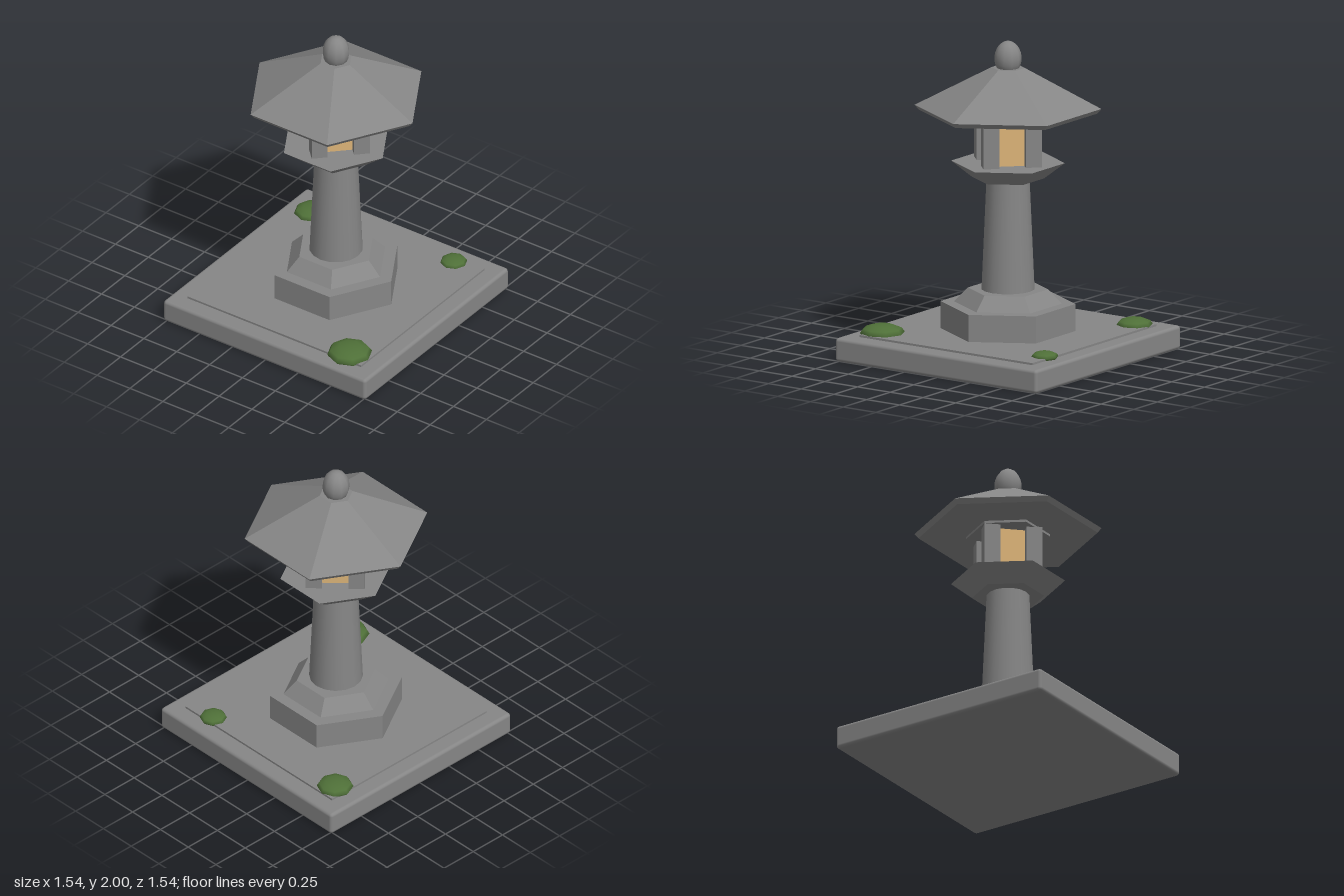
import * as THREE from 'three';
import { RoundedBoxGeometry } from 'three/addons/geometries/RoundedBoxGeometry.js';

export function createModel() {
  const model = new THREE.Group();
  model.name = 'stoneLantern';

  const flatStone = new THREE.MeshStandardMaterial({ name: 'stone', color: 0x868686, flatShading: true });
  const stone = new THREE.MeshStandardMaterial({ name: 'smoothStone', color: 0x868686 });
  const amber = new THREE.MeshStandardMaterial({ name: 'amberPaper', color: 0xdcb478 });
  const moss = new THREE.MeshStandardMaterial({ name: 'moss', color: 0x4f7038 });

  const add = (name, geometry, material, x = 0, y = 0, z = 0) => {
    const mesh = new THREE.Mesh(geometry, material);
    mesh.name = name;
    mesh.position.set(x, y, z);
    model.add(mesh);
    return mesh;
  };

  // Prism or frustum between two heights, corners on the z axis
  const tier = (name, y0, y1, r0, r1, sides = 6, material = flatStone) =>
    add(name, new THREE.CylinderGeometry(r1, r0, y1 - y0, sides), material, 0, (y0 + y1) / 2, 0);

  // Square ground slab with a thin raised panel
  add('baseSlab', new RoundedBoxGeometry(1.54, 0.15, 1.54, 2, 0.022), stone, 0, 0.075, 0);
  add('basePanel', new THREE.BoxGeometry(1.32, 0.03, 1.32), stone, 0, 0.148, 0);

  // Hexagonal foot and round tapered column
  tier('foot', 0.15, 0.335, 0.42, 0.42);
  tier('footBevel', 0.335, 0.425, 0.335, 0.25);
  tier('column', 0.42, 1.14, 0.167, 0.135, 16, stone);

  // Flared platform under the lamp chamber
  tier('platform', 1.13, 1.23, 0.225, 0.355);

  // Lamp chamber set diagonally, with a post on each corner
  const chamber = add('lampPanels', new THREE.BoxGeometry(0.25, 0.31, 0.25), amber, 0, 1.385, 0);
  chamber.rotation.y = Math.PI / 4;
  for (let i = 0; i < 4; i++) {
    const a = (i * Math.PI) / 2;
    const post = add('lampPost', new THREE.BoxGeometry(0.1, 0.31, 0.1), stone,
      Math.sin(a) * 0.188, 1.385, Math.cos(a) * 0.188);
    post.rotation.y = Math.PI / 4;
  }
  tier('chamberCap', 1.535, 1.555, 0.26, 0.26);

  // Hexagonal roof with a thin undercut eave
  tier('eave', 1.55, 1.58, 0.557, 0.582);
  tier('roof', 1.58, 1.83, 0.582, 0.105);

  // Egg-shaped finial
  add('finial', new THREE.SphereGeometry(0.085, 10, 10), stone, 0, 1.89, 0).scale.y = 1.3;

  // Moss mounds: x, z, radius
  for (const [x, z, r] of [[-0.585, 0.52, 0.141], [0.553, -0.575, 0.114], [0.612, 0.46, 0.085]]) {
    add('mossMound', new THREE.SphereGeometry(r, 8, 6), moss, x, 0.164, z).scale.y = 0.38;
  }

  return model;
}
